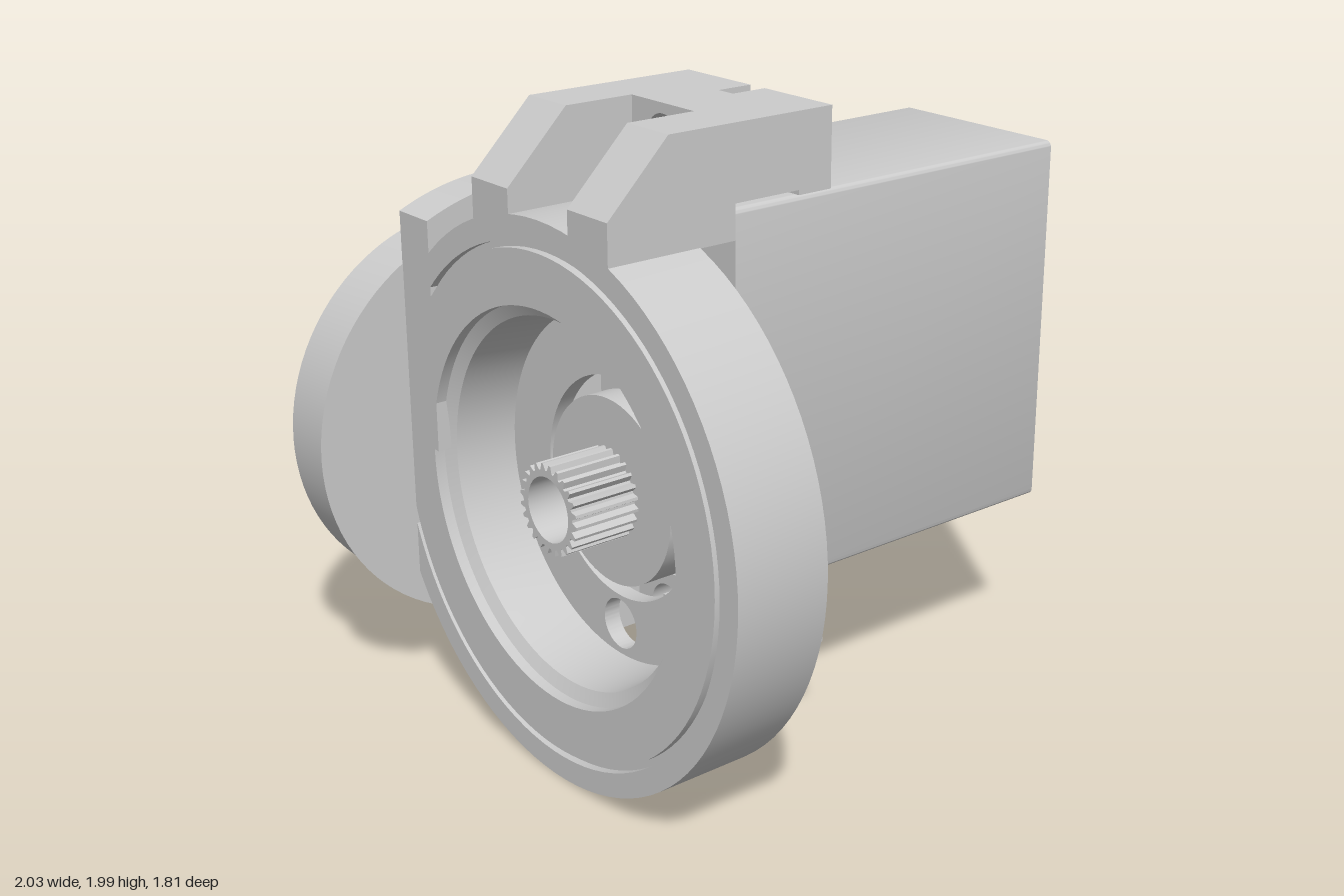
import * as THREE from 'three';
import { toCreasedNormals } from 'three/addons/utils/BufferGeometryUtils.js';

const ZC = 0.0425; // middle of the motor and bracket along z
const AXLE = 0.86; // height of the main wheel axis
const HALF = 0.3225; // half width of the motor and bracket
const material = new THREE.MeshStandardMaterial({ color: 0xcccccc });

export function createModel() {
  const model = new THREE.Group();

  const add = (name, geo, parent = model) => {
    const mesh = new THREE.Mesh(toCreasedNormals(geo, 0.5), material);
    mesh.name = name;
    parent.add(mesh);
    return mesh;
  };
  const poly = (pts) => new THREE.Shape(pts.map(([x, y]) => new THREE.Vector2(x, y)));
  const circle = (x, y, r, Type = THREE.Path) => {
    const c = new Type();
    c.absarc(x, y, r, 0, Math.PI * 2, false);
    return c;
  };
  const extrude = (shape, depth, curveSegments = 24) =>
    new THREE.ExtrudeGeometry(shape, { depth, curveSegments, bevelEnabled: false });
  // extrude a (-z, y) outline from x0 to x1
  const alongX = (shape, x0, x1, segs) =>
    extrude(shape, x1 - x0, segs).rotateY(Math.PI / 2).translate(x0, 0, ZC);
  const alongZ = (shape, z0, z1, segs) => extrude(shape, z1 - z0, segs).translate(0, 0, z0);
  const rodX = (r, x0, x1, y) =>
    new THREE.CylinderGeometry(r, r, x1 - x0, 64).rotateZ(-Math.PI / 2).translate((x0 + x1) / 2, y, ZC);

  // Motor housing with slightly rounded long edges
  const r = 0.02, b = 0.56, t = 1.745;
  const body = new THREE.Shape();
  body.absarc(HALF - r, t - r, r, 0, Math.PI / 2);
  body.absarc(-HALF + r, t - r, r, Math.PI / 2, Math.PI);
  body.absarc(-HALF + r, b + r, r, Math.PI, Math.PI * 1.5);
  body.absarc(HALF - r, b + r, r, Math.PI * 1.5, Math.PI * 2);
  add('motorHousing', alongX(body, -0.27, 1, 5));

  // Clamps above and below the motor: two cheeks around a notch, a drilled block and a slit
  const clamp = (name, cheekPts, flip) => {
    const Y = (y) => (flip ? 2.3 - y : y);
    const g = new THREE.Group();
    g.name = name;
    model.add(g);
    const cheek = poly(cheekPts.map(([x, y]) => [x, Y(y)]));
    add('cheekBack', alongZ(cheek, -0.28, -0.1), g);
    add('cheekFront', alongZ(cheek, 0.185, 0.365), g);

    const inner = poly([[-HALF, Y(1.76)], [HALF, Y(1.76)], [HALF, Y(1.985)], [-HALF, Y(1.985)]]);
    inner.holes.push(circle(0, Y(1.88), 0.074));
    add('drilledBlock', alongX(inner, -0.27, -0.04), g);

    // outer slice: the bore opens through a narrow slit
    const pts = [[-HALF, 1.745], [HALF, 1.745], [HALF, 1.985], [0.032, 1.985]];
    const a0 = Math.acos(0.032 / 0.074);
    for (let i = 0; i <= 40; i++) {
      const a = a0 - (i / 40) * (Math.PI + 2 * a0 - 0);
      pts.push([0.074 * Math.cos(a), 1.88 + 0.074 * Math.sin(a)]);
    }
    pts.push([-0.032, 1.985], [-HALF, 1.985]);
    add('slitBlock', alongX(poly(pts.map(([x, y]) => [x, Y(y)])), -0.04, 0.08), g);
  };
  clamp('upperClamp', [[-0.705, 1.655], [-0.27, 1.655], [-0.27, 1.985], [-0.5, 1.985], [-0.705, 1.78]], false);
  clamp('lowerClamp', [[-0.395, 1.745], [-0.27, 1.745], [-0.27, 1.985], [-0.395, 1.985]], true);

  // Main wheel: grooved rim with a stepped recess on its outer side
  const rim = [
    [0.54, -0.395], [0.86, -0.395], [0.86, -0.705], [0.785, -0.705], [0.785, -0.68],
    [0.765, -0.68], [0.765, -0.705], [0.6, -0.705], [0.6, -0.67], [0.56, -0.65], [0.54, -0.45], [0.54, -0.395],
  ].reverse().map(([x, y]) => new THREE.Vector2(x, y));
  add('wheelRim', new THREE.LatheGeometry(rim, 96).rotateZ(-Math.PI / 2).translate(0, AXLE, ZC));

  // Web of the wheel with the shaft opening and screw access holes
  const web = circle(0, AXLE, 0.545, THREE.Shape);
  web.holes.push(circle(0, AXLE, 0.345));
  for (const s of [-1, 1]) web.holes.push(circle(0, AXLE + s * 0.44, 0.08));
  add('wheelWeb', alongX(web, -0.45, -0.395, 40));

  // Motor boss, small side boss and toothed shaft
  add('motorBoss', rodX(0.29, -0.48, -0.27, AXLE));
  add('sideBoss', rodX(0.135, -0.395, -0.27, 1.185));
  const teeth = [];
  const n = 24;
  for (let i = 0; i < n; i++) {
    [[0, 0.12], [0.25, 0.14], [0.5, 0.14], [0.75, 0.12]].forEach(([f, rad]) => {
      const a = ((i + f) / n) * Math.PI * 2;
      teeth.push([rad * Math.cos(a), AXLE + rad * Math.sin(a)]);
    });
  }
  const gear = poly(teeth);
  gear.holes.push(circle(0, AXLE, 0.1));
  add('shaftGear', alongX(gear, -0.7, -0.48, 16));

  // Rear disc with a flat-sided slot
  const DX = -0.365, DY = 0.865;
  const disc = circle(DX, DY, 0.635, THREE.Shape);
  const slot = new THREE.Path();
  const sa = Math.asin(0.065 / 0.14);
  slot.absarc(DX, DY, 0.14, -sa, sa, false);
  slot.absarc(DX, DY, 0.14, Math.PI - sa, Math.PI + sa, false);
  slot.closePath();
  disc.holes.push(slot);
  add('rearDisc', alongZ(disc, -0.91, -0.69, 48));
  add('discLip', new THREE.CylinderGeometry(0.66, 0.635, 0.022, 96)
    .rotateX(Math.PI / 2).translate(DX, DY, -0.699).scale(1, 1, 1));
  add('discHub', new THREE.CylinderGeometry(0.18, 0.18, 0.185, 48)
    .rotateX(Math.PI / 2).translate(-0.32, DY, -0.6075));

  // Partial flange in front of the disc, cut away beside the main wheel
  const R = 0.805;
  const flange = new THREE.Shape();
  flange.absarc(DX, DY, R, -Math.acos((-0.22 - DX) / R), Math.acos((-0.705 - DX) / R), false);
  flange.lineTo(-0.705, DY);
  flange.lineTo(-0.22, DY);
  flange.closePath();
  add('rearFlange', alongZ(flange, -0.69, -0.535, 64));

  return model;
}
